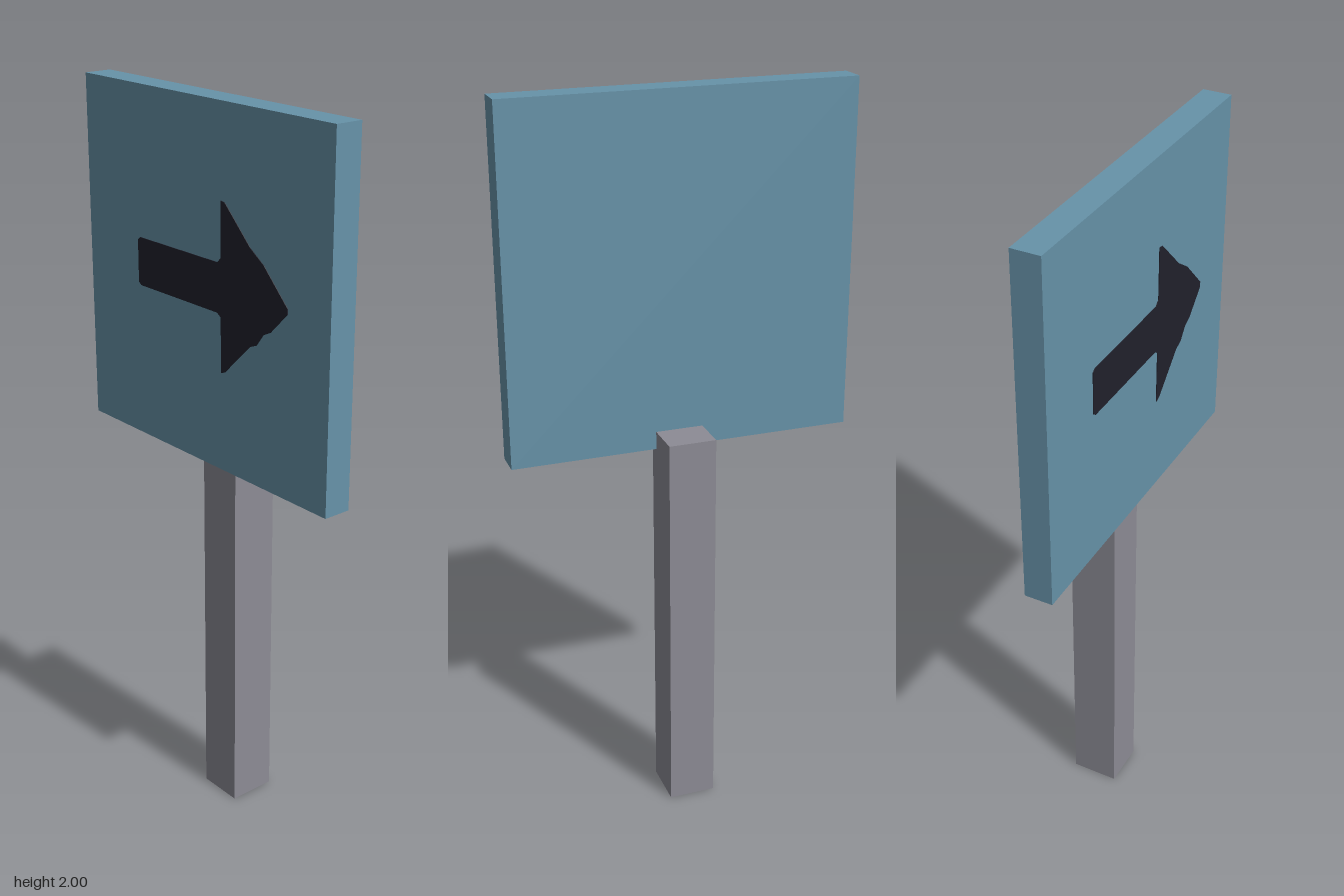
import * as THREE from 'three';

const material = (name, color) => {
  const m = new THREE.MeshStandardMaterial({ color });
  m.name = name;
  return m;
};

// Box given by its minimum and maximum corners
function box(name, min, max, mat) {
  const size = max.map((v, i) => v - min[i]);
  const mesh = new THREE.Mesh(new THREE.BoxGeometry(...size), mat);
  mesh.position.set(...max.map((v, i) => (v + min[i]) / 2));
  mesh.name = name;
  return mesh;
}

export function createModel() {
  const blue = material('panel blue', 0x6793a9);
  const grey = material('post grey', 0x8d8c95);
  const dark = material('arrow dark', 0x21212c);

  const group = new THREE.Group();
  group.name = 'signpost';

  // Square post, set slightly off centre behind the panel
  group.add(box('post', [-0.053, 0, -0.092], [0.077, 1.106, 0.041], grey));
  // Square sign panel
  group.add(box('panel', [-0.472, 1.057, 0.013], [0.472, 2, 0.09], blue));

  // Painted arrow pointing to +x, with a slightly bowed head
  const outline = [
    [-0.258, 1.485], [-0.248, 1.478], [0.066, 1.478], [0.08, 1.468],
    [0.08, 1.322], [0.095, 1.328], [0.19, 1.42], [0.215, 1.43],
    [0.24, 1.463], [0.265, 1.475], [0.325, 1.535], [0.325, 1.55],
    [0.24, 1.635], [0.19, 1.668], [0.095, 1.76], [0.08, 1.762],
    [0.08, 1.62], [0.066, 1.607], [-0.248, 1.607], [-0.258, 1.6],
  ];
  const shape = new THREE.Shape(outline.map(([x, y]) => new THREE.Vector2(x, y)));
  const arrow = new THREE.Mesh(
    new THREE.ExtrudeGeometry(shape, { depth: 0.003, bevelEnabled: false }), dark);
  arrow.position.z = 0.089;
  arrow.name = 'arrow';
  group.add(arrow);

  return group;
}
